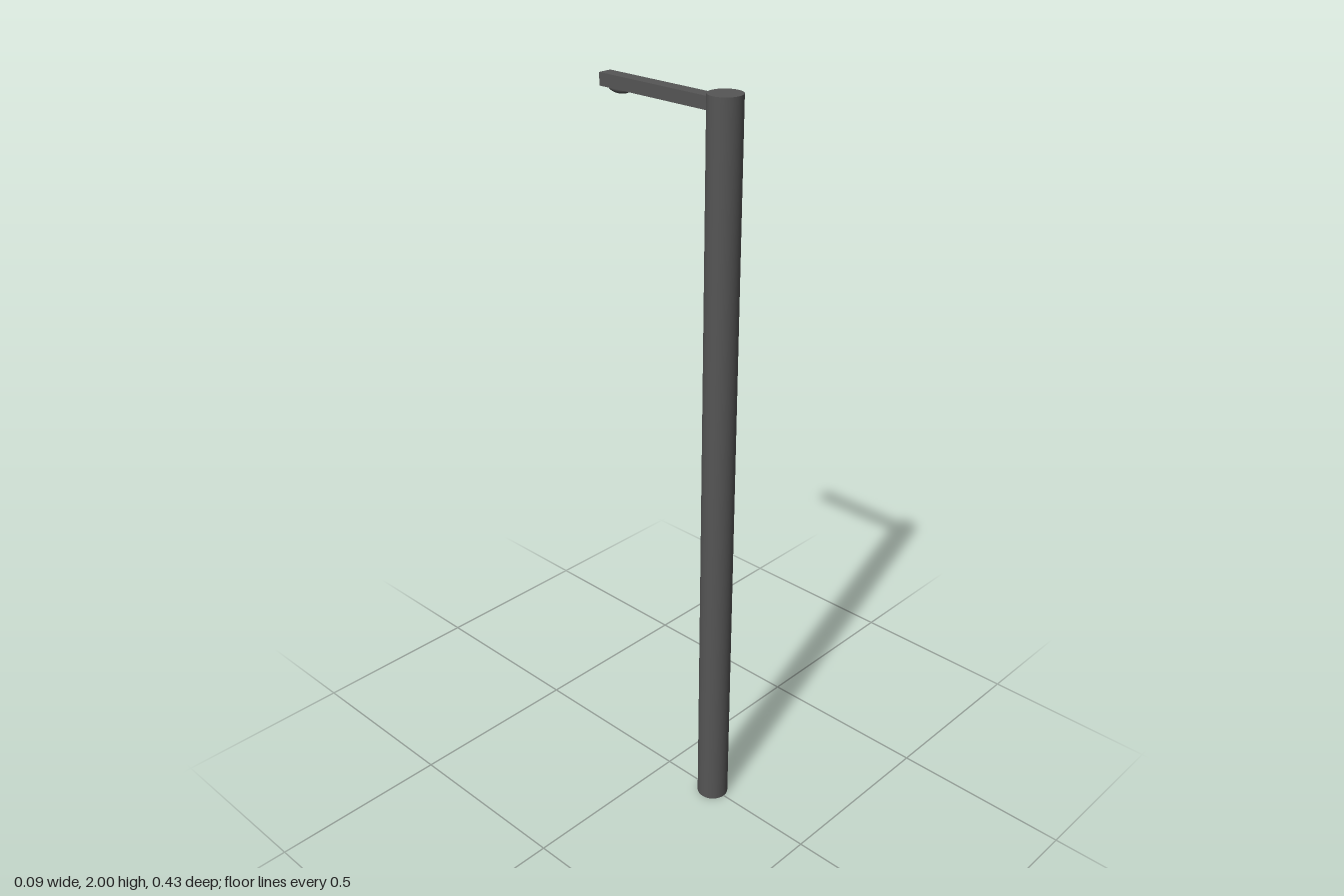
import * as THREE from 'three';

export function createModel() {
  const group = new THREE.Group();
  const metal = new THREE.MeshStandardMaterial({ color: 0x555555 });

  const add = (name, geometry, x, y, z) => {
    const mesh = new THREE.Mesh(geometry, metal);
    mesh.name = name;
    mesh.position.set(x, y, z);
    group.add(mesh);
    return mesh;
  };

  // Round upright pole
  const poleRadius = 0.043, poleZ = 0.172;
  add('pole', new THREE.CylinderGeometry(poleRadius, poleRadius, 2, 48), 0, 1, poleZ);

  // Slim square arm reaching back from just below the pole top
  const armBack = -0.215, armFront = 0.14, armBottom = 1.958, armTop = 1.99;
  add('arm', new THREE.BoxGeometry(0.037, armTop - armBottom, armFront - armBack),
    0, (armTop + armBottom) / 2, (armFront + armBack) / 2);

  // Shallow oval lamp lens under the free end of the arm
  const lens = add('lampLens',
    new THREE.SphereGeometry(1, 32, 12, 0, Math.PI * 2, Math.PI / 2, Math.PI / 2),
    0, armBottom, -0.165);
  lens.scale.set(0.016, 0.013, 0.035);

  return group;
}
